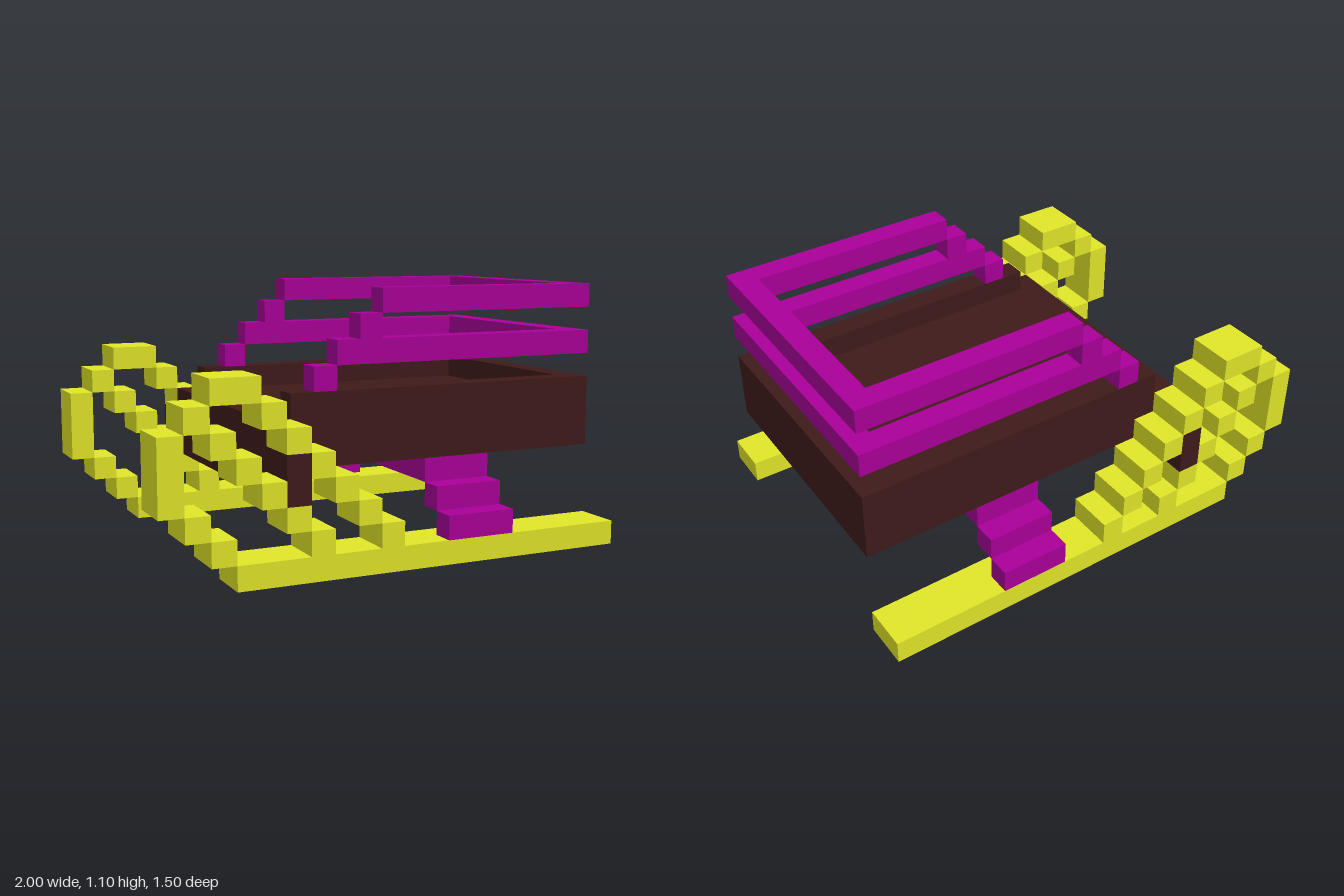
import * as THREE from 'three';

const material = (name, color) => {
  const m = new THREE.MeshStandardMaterial({ color });
  m.name = name;
  return m;
};

export function createModel() {
  const yellow = material('yellow', 0xe1e528);
  const purple = material('purple', 0xa90098);
  const brown = material('brown', 0x3f1a1a);

  const model = new THREE.Group();
  model.name = 'sleigh';

  // Box given by its low and high corner
  const block = (parent, name, mat, [x0, x1], [y0, y1], [z0, z1]) => {
    const mesh = new THREE.Mesh(new THREE.BoxGeometry(x1 - x0, y1 - y0, z1 - z0), mat);
    mesh.position.set((x0 + x1) / 2, (y0 + y1) / 2, (z0 + z1) / 2);
    mesh.name = name;
    parent.add(mesh);
  };
  // Same box on both sides of the sleigh
  const pair = (parent, name, mat, x, y, [z0, z1]) => {
    block(parent, name + 'Front', mat, x, y, [z0, z1]);
    block(parent, name + 'Back', mat, x, y, [-z1, -z0]);
  };
  const group = (name) => {
    const g = new THREE.Group();
    g.name = name;
    model.add(g);
    return g;
  };

  // Runners: flat skid, stepped curl and stepped braces
  const runners = group('runners');
  const runnerZ = [0.55, 0.75];
  pair(runners, 'skid', yellow, [-0.7, 1], [0, 0.1], runnerZ);
  pair(runners, 'curlLowStep', yellow, [-0.8, -0.7], [0.1, 0.2], runnerZ);
  pair(runners, 'curlMidStep', yellow, [-0.9, -0.8], [0.2, 0.3], runnerZ);
  pair(runners, 'curlTip', yellow, [-1, -0.9], [0.3, 0.6], runnerZ);
  pair(runners, 'curlHighStep', yellow, [-0.9, -0.8], [0.6, 0.7], runnerZ);
  pair(runners, 'curlTop', yellow, [-0.8, -0.6], [0.7, 0.8], runnerZ);
  for (let i = 0; i < 6; i++) {
    const x = -0.6 + i * 0.1, y = 0.6 - i * 0.1;
    pair(runners, 'outerBrace', yellow, [x, x + 0.1], [y, y + 0.1], runnerZ);
  }
  for (let i = 0; i < 5; i++) {
    const x = -0.8 + i * 0.1, y = 0.5 - i * 0.1;
    pair(runners, 'innerBrace', yellow, [x, x + 0.1], [y, y + 0.1], runnerZ);
  }

  // Shallow open-fronted tray and the crossbar joining the runners
  const tray = group('tray');
  block(tray, 'floor', brown, [-0.4, 1], [0.4, 0.6], [-0.55, 0.55]);
  block(tray, 'floorLip', brown, [-0.5, -0.4], [0.5, 0.6], [-0.55, 0.55]);
  pair(tray, 'sideWall', brown, [-0.4, 1], [0.6, 0.7], [0.45, 0.55]);
  block(tray, 'endWall', brown, [0.9, 1], [0.6, 0.7], [-0.45, 0.45]);
  block(tray, 'crossbar', brown, [-0.5, -0.4], [0.3, 0.5], [-0.75, 0.75]);

  // Two handrails climbing in steps from the tray
  const rails = group('rails');
  const railZ = [0.45, 0.55];
  for (const [name, x, y] of [['lowerRail', -0.2, 0.8], ['upperRail', 0, 1]]) {
    pair(rails, name, purple, [x, 1], [y, y + 0.1], railZ);
    block(rails, name + 'End', purple, [0.9, 1], [y, y + 0.1], [-0.45, 0.45]);
    pair(rails, name + 'Post', purple, [x - 0.1, x], [y - 0.1, y], railZ);
  }

  // Support beam with legs stepping out to the skids
  const support = group('support');
  block(support, 'beam', purple, [0.2, 0.5], [0.3, 0.4], [-0.55, 0.55]);
  pair(support, 'upperLeg', purple, [0.2, 0.5], [0.2, 0.3], [0.55, 0.65]);
  pair(support, 'lowerLeg', purple, [0.2, 0.5], [0.1, 0.2], [0.65, 0.75]);

  return model;
}
